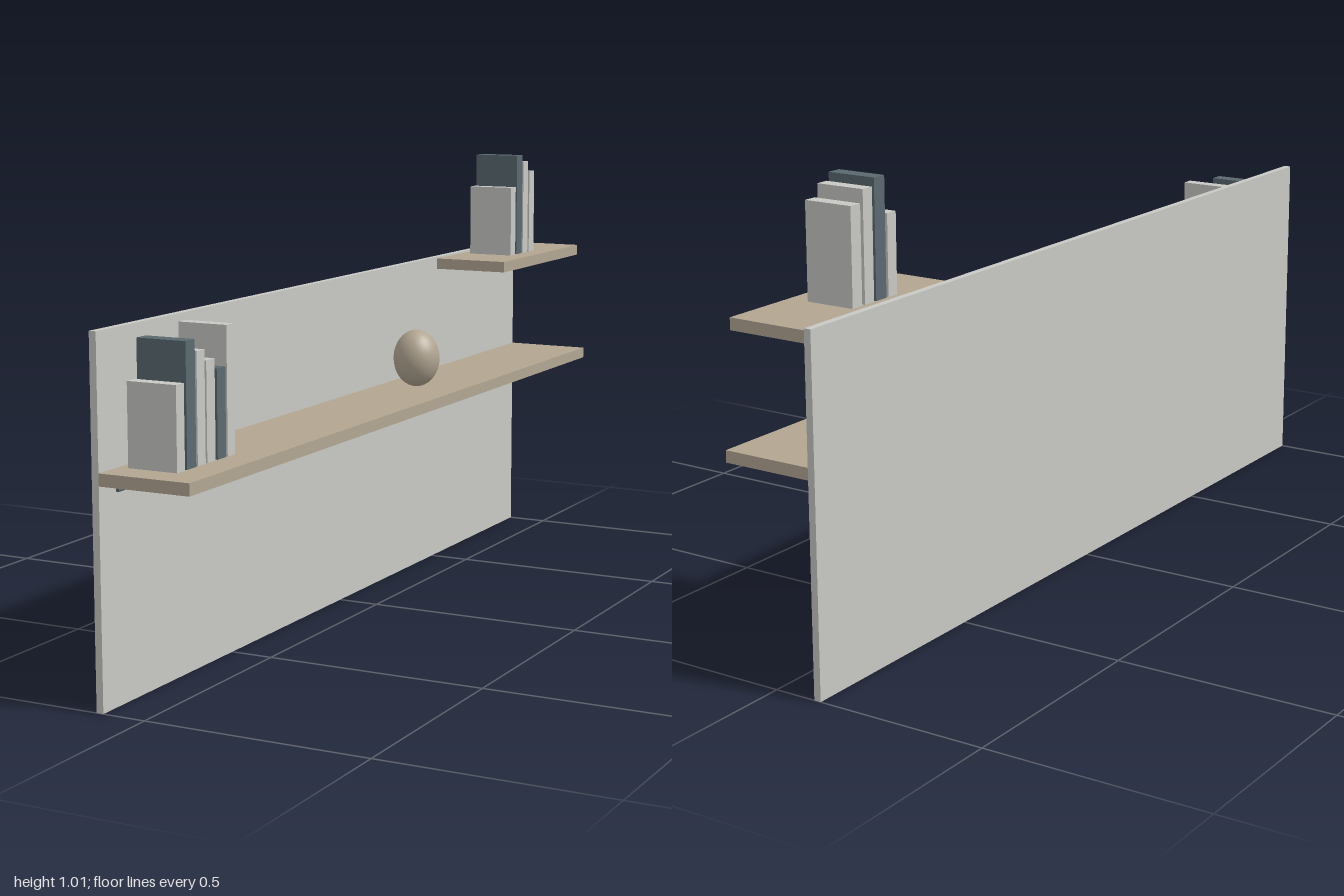
import * as THREE from 'three';

const material = (name, color) => {
  const m = new THREE.MeshStandardMaterial({ color });
  m.name = name;
  return m;
};

export function createModel() {
  const pale = material('pale grey', 0xc8c8c4);
  const wood = material('oak', 0xb2a692);
  const slate = material('slate', 0x5a696f);

  const model = new THREE.Group();
  model.name = 'wallShelf';

  // Box given by its extents on each axis
  const box = (name, mat, [x0, x1], [y0, y1], [z0, z1], parent = model) => {
    const mesh = new THREE.Mesh(new THREE.BoxGeometry(x1 - x0, y1 - y0, z1 - z0), mat);
    mesh.position.set((x0 + x1) / 2, (y0 + y1) / 2, (z0 + z1) / 2);
    mesh.name = name;
    parent.add(mesh);
  };

  // Back panel and the two shelves
  box('backPanel', pale, [-0.112, -0.096], [0, 0.765], [-1, 1]);
  box('lowerShelf', wood, [-0.096, 0.111], [0.46, 0.486], [-1, 1]);
  box('upperShelf', wood, [-0.096, 0.088], [0.735, 0.761], [-1, -0.523]);

  // Rows of upright books: [z from, z to, top, colour]
  const bookRow = (name, base, books) => {
    const row = new THREE.Group();
    row.name = name;
    books.forEach(([z0, z1, top, mat], i) =>
      box(`book${i + 1}`, mat, [-0.073, 0.04], [base, top], [z0, z1], row));
    model.add(row);
  };
  bookRow('lowerBooks', 0.486, [
    [0.901, 0.930, 0.66, pale],
    [0.859, 0.893, 0.741, slate],
    [0.823, 0.853, 0.716, pale],
    [0.785, 0.817, 0.693, pale],
    [0.744, 0.777, 0.671, slate],
    [0.709, 0.738, 0.754, pale],
  ]);
  bookRow('upperBooks', 0.761, [
    [-0.700, -0.671, 0.933, pale],
    [-0.741, -0.707, 1.012, slate],
    [-0.778, -0.748, 0.995, pale],
    [-0.818, -0.787, 0.968, pale],
  ]);

  // Egg-shaped ornament
  const ornament = new THREE.Mesh(new THREE.SphereGeometry(1, 32, 24), wood);
  ornament.scale.set(0.055, 0.068, 0.055);
  ornament.position.set(0, 0.557, -0.21);
  ornament.name = 'ornament';
  model.add(ornament);

  // Thin light rod under the lower shelf
  const rod = new THREE.Mesh(new THREE.CylinderGeometry(0.004, 0.004, 1.93, 12), slate);
  rod.rotation.x = Math.PI / 2;
  rod.position.set(-0.076, 0.448, 0);
  rod.name = 'underShelfRod';
  model.add(rod);

  return model;
}
